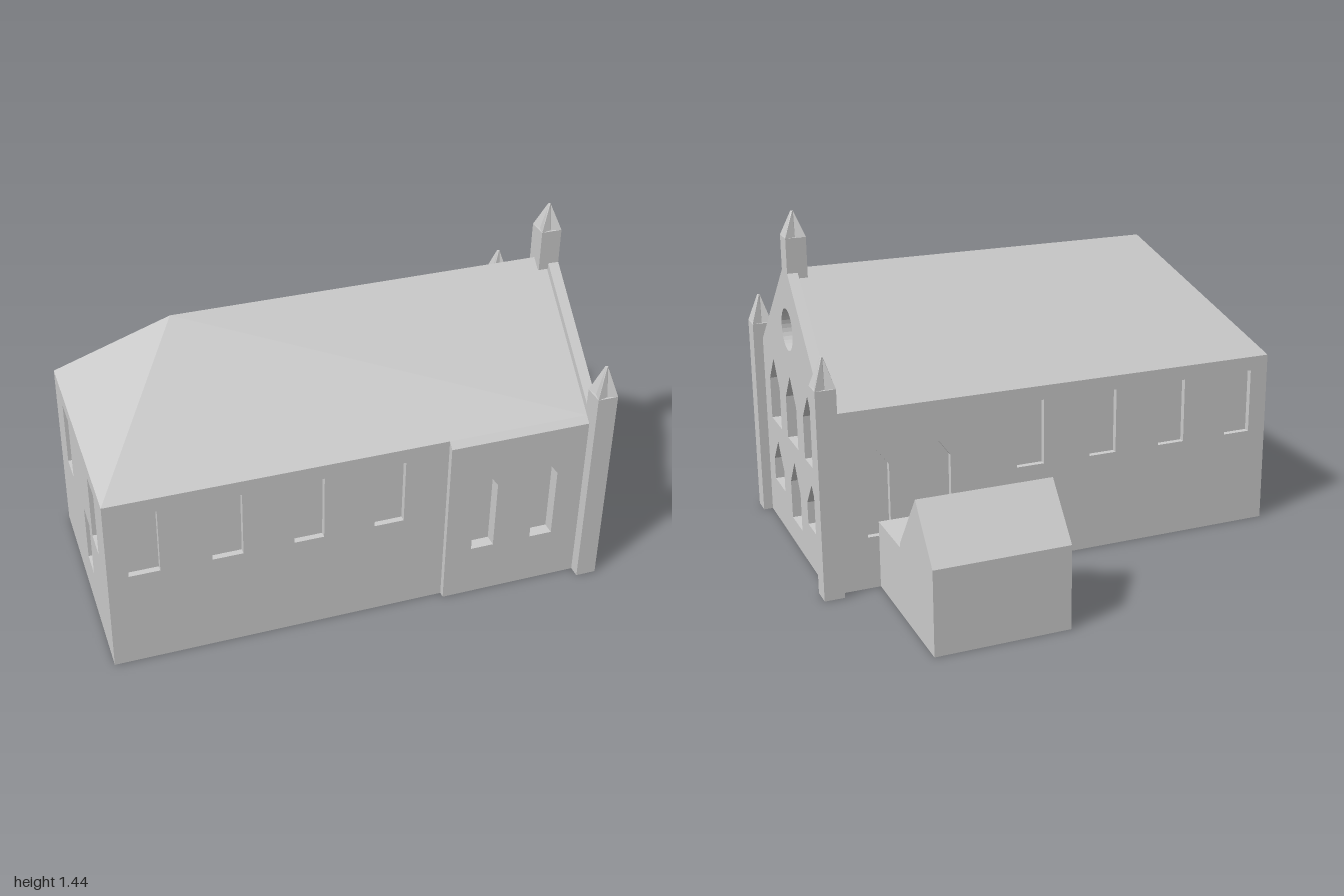
import * as THREE from 'three';
import { ConvexGeometry } from 'three/addons/geometries/ConvexGeometry.js';

const stone = new THREE.MeshStandardMaterial({ color: 0xcccccc });
stone.name = 'paleStone';

const V = (x, y, z) => new THREE.Vector3(x, y, z);
const pts2 = (list) => list.map(([x, y]) => new THREE.Vector2(x, y));

// Window outlines: rectangle, pointed arch, circle
const rect = (x0, x1, y0, y1) => [[x0, y0], [x1, y0], [x1, y1], [x0, y1]];
const pointed = (x0, x1, y0, shoulder, peak) =>
  [[x0, y0], [x1, y0], [x1, shoulder], [(x0 + x1) / 2, peak], [x0, shoulder]];
function circle(cx, cy, r, n = 32) {
  return Array.from({ length: n }, (_, i) => {
    const a = (i / n) * Math.PI * 2;
    return [cx + r * Math.cos(a), cy + r * Math.sin(a)];
  });
}

export function createModel() {
  const group = new THREE.Group();
  group.name = 'chapel';

  function add(name, geometry) {
    const mesh = new THREE.Mesh(geometry, stone);
    mesh.name = name;
    group.add(mesh);
    return mesh;
  }
  function block(name, x0, x1, y0, y1, z0, z1) {
    add(name, new THREE.BoxGeometry(x1 - x0, y1 - y0, z1 - z0))
      .position.set((x0 + x1) / 2, (y0 + y1) / 2, (z0 + z1) / 2);
  }
  // Convex section in (z, y) carried along x
  function prism(name, x0, x1, section) {
    add(name, new ConvexGeometry(section.flatMap(([z, y]) => [V(x0, y, z), V(x1, y, z)])));
  }
  // Wall slab with window openings, extruded outward
  function wall(name, outline, holes, depth) {
    const shape = new THREE.Shape(pts2(outline));
    shape.holes = holes.map((h) => new THREE.Path(pts2(h)));
    return add(name, new THREE.ExtrudeGeometry(shape, { depth, bevelEnabled: false }));
  }
  // Folded spire on a square base
  function spire(name, x, y, z, h) {
    const g = new THREE.CylinderGeometry(0.006, 0.0415 * Math.SQRT2, h, 8, 1).toNonIndexed();
    const p = g.attributes.position;
    for (let i = 0; i < p.count; i++) {
      const onAxis = Math.min(Math.abs(p.getX(i)), Math.abs(p.getZ(i))) < 1e-4;
      if (onAxis && p.getY(i) < 0) p.setXYZ(i, p.getX(i) * 0.54, p.getY(i), p.getZ(i) * 0.54);
    }
    g.computeVertexNormals();
    add(name, g).position.set(x, y + h / 2, z);
  }

  // Solid nave behind the window openings
  const t = 0.025;
  block('naveCore', -1 + t, 0.915, 0, 0.75, -0.2 + t, 0.76 - t);

  // Hipped roof
  add('roof', new ConvexGeometry([
    V(-1, 0.75, -0.2), V(-1, 0.75, 0.76), V(0.915, 0.75, -0.2), V(0.915, 0.75, 0.76),
    V(-0.61, 1.21, 0.285), V(0.915, 1.21, 0.285),
  ]));

  // Long side walls
  const sideRects = [-0.92, -0.6, -0.28, 0.045].map((x) => rect(x, x + 0.12, 0.415, 0.69));
  const lancets = [0.45, 0.705].map((x) => pointed(x, x + 0.095, 0.22, 0.515, 0.58));
  wall('frontWall', rect(-1, 0.34, 0, 0.75), sideRects, t).position.z = 0.735;
  wall('frontBay', rect(0.34, 0.915, 0, 0.726), lancets, 0.05).position.z = 0.735;
  prism('bayEave', 0.34, 0.915, [[0.735, 0.726], [0.785, 0.726], [0.76, 0.75], [0.735, 0.75]]);
  const flip = (outline) => outline.map(([x, y]) => [-x, y]).reverse();
  const back = wall('backWall', rect(-0.915, 1, 0, 0.75), [...sideRects, ...lancets].map(flip), t);
  back.rotation.y = Math.PI;
  back.position.z = -0.175;

  // Hip end wall
  const end = wall('endWall', rect(-0.175, 0.735, 0, 0.75), [
    rect(-0.03, 0.09, 0.415, 0.69), rect(0.48, 0.6, 0.415, 0.69), rect(0.31, 0.42, 0.18, 0.42),
  ], t);
  end.rotation.y = -Math.PI / 2;
  end.position.x = -0.975;

  // Gable front with two rows of pointed openings and a round window
  const openings = [circle(-0.3, 0.955, 0.087), pointed(-0.375, -0.22, 0.105, 0.27, 0.38)];
  for (const c of [-0.57, -0.3, -0.03]) {
    openings.push(pointed(c - 0.083, c + 0.083, 0.465, 0.645, 0.755));
    if (c !== -0.3) openings.push(pointed(c - 0.083, c + 0.083, 0.18, 0.275, 0.38));
  }
  const gable = wall('gableWall', [
    [-0.75, 0], [0.16, 0], [0.16, 0.8], [-0.25, 1.2], [-0.33, 1.2], [-0.75, 0.795],
  ], openings, 0.043);
  gable.rotation.y = Math.PI / 2;
  gable.position.x = 0.915;

  // Corner piers and the central pinnacle
  for (const z of [0.79, -0.2]) {
    block('cornerPier', 0.915, 0.998, 0, 0.863, z - 0.0415, z + 0.0415);
    spire('pierSpire', 0.9565, 0.863, z, 0.12);
  }
  block('gablePinnacle', 0.875, 0.958, 1.175, 1.34, 0.2485, 0.3315);
  spire('pinnacleSpire', 0.9165, 1.34, 0.29, 0.1);

  // Rear outbuilding and its connecting passage
  prism('outbuilding', 0.21, 0.755, [
    [-0.462, 0], [-0.83, 0], [-0.83, 0.345], [-0.655, 0.55], [-0.462, 0.295],
  ]);
  block('passage', 0.615, 0.755, 0, 0.28, -0.462, -0.2);

  return group;
}
